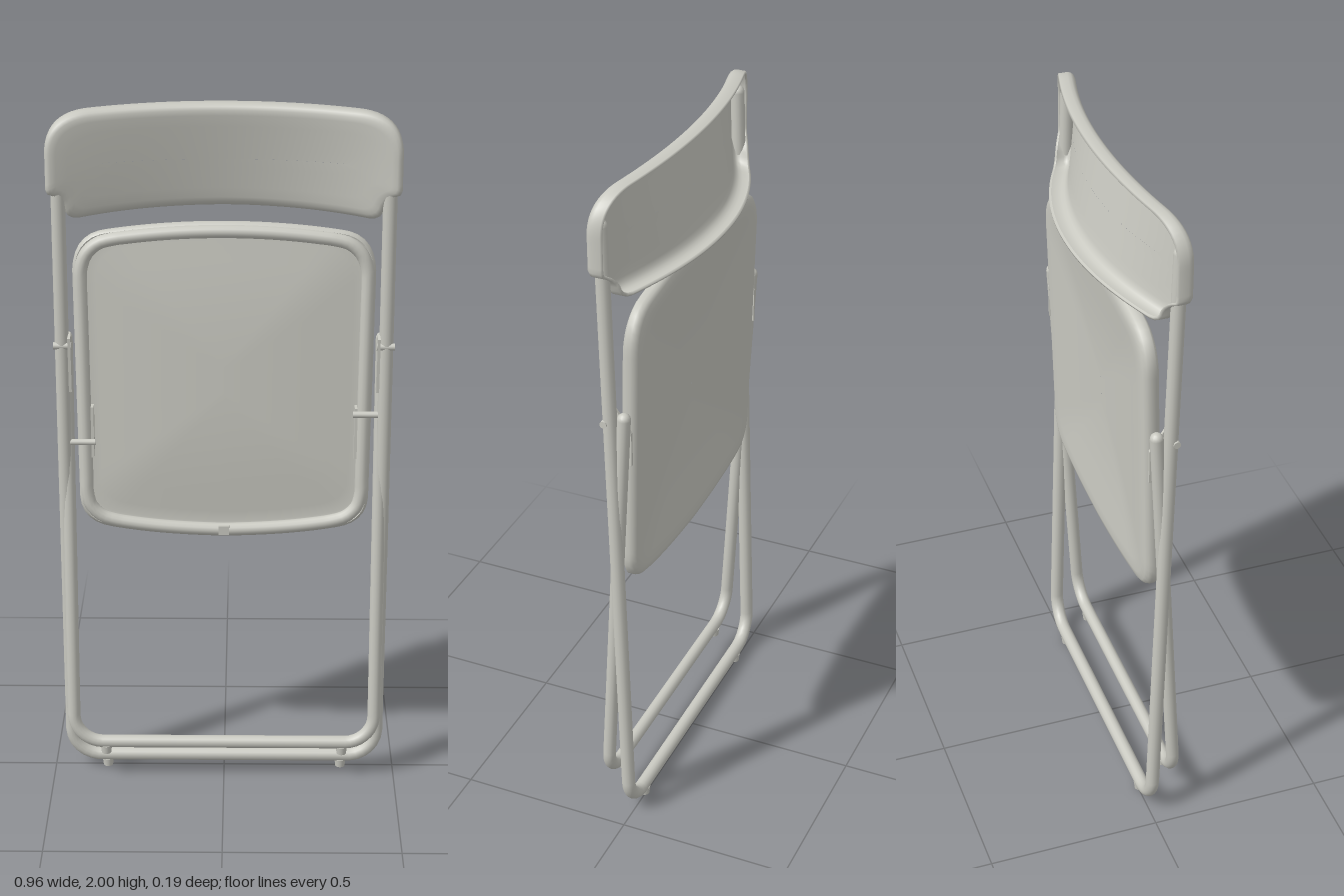
import * as THREE from 'three';

const metal = new THREE.MeshStandardMaterial({ color: 0xc9c9c1, side: THREE.DoubleSide });
metal.name = 'warm grey metal';
const V = (x, y, z) => new THREE.Vector3(x, y, z);

function add(parent, name, geometry) {
  const mesh = new THREE.Mesh(geometry, metal);
  mesh.name = name;
  parent.add(mesh);
  return mesh;
}

// Polyline path with every inner corner rounded by radius r
function roundedPath(points, r) {
  const path = new THREE.CurvePath();
  let from = points[0];
  for (let i = 1; i < points.length - 1; i++) {
    const p = points[i];
    const a = p.clone().add(points[i - 1].clone().sub(p).setLength(r));
    const b = p.clone().add(points[i + 1].clone().sub(p).setLength(r));
    path.add(new THREE.LineCurve3(from, a));
    path.add(new THREE.CubicBezierCurve3(a, a.clone().lerp(p, 0.55), b.clone().lerp(p, 0.55), b));
    from = b;
  }
  path.add(new THREE.LineCurve3(from, points[points.length - 1]));
  return path;
}

// U-shaped tube leg frame with capped ends and two feet
function legFrame(name, bottom, top, radius) {
  const group = new THREE.Group();
  group.name = name;
  const path = roundedPath([
    V(-top.x, top.y, top.z), V(-bottom.x, bottom.y, bottom.z),
    V(bottom.x, bottom.y, bottom.z), V(top.x, top.y, top.z)], 0.085);
  add(group, 'bentTube', new THREE.TubeGeometry(path, 220, radius, 14));
  for (const s of [-1, 1]) {
    add(group, 'tubeEnd', new THREE.SphereGeometry(radius, 14, 10)).position.set(s * top.x, top.y, top.z);
    add(group, 'foot', new THREE.CylinderGeometry(0.017, 0.014, 0.024, 14))
      .position.set(s * 0.345, bottom.y - radius - 0.006, bottom.z);
  }
  return group;
}

// Symmetric outline, counter-clockwise, from a right-half drawing function
function outlinePoints(shape, count) {
  const points = shape.getSpacedPoints(count);
  points.pop();
  return points;
}

// Sheet built from concentric rings: each ring is [inset, depth]
function shellGeometry(outline, center, half, rings, zAt) {
  const n = outline.length, pos = [], index = [];
  for (const [inset, depth] of rings) {
    for (const p of outline) {
      const x = center.x + (p.x - center.x) * (1 - inset / half.x);
      const y = center.y + (p.y - center.y) * (1 - inset / half.y);
      pos.push(x, y, zAt(x, y) + depth);
    }
  }
  for (let r = 0; r < rings.length - 1; r++) {
    for (let i = 0; i < n; i++) {
      const a = r * n + i, b = r * n + (i + 1) % n;
      index.push(a, a + n, b + n, a, b + n, b);
    }
  }
  const g = new THREE.BufferGeometry();
  g.setAttribute('position', new THREE.Float32BufferAttribute(pos, 3));
  g.setIndex(index);
  g.computeVertexNormals();
  return g;
}

function backrest() {
  const s = new THREE.Shape();
  s.moveTo(0, 1.705);
  s.quadraticCurveTo(0.25, 1.703, 0.39, 1.692);
  s.quadraticCurveTo(0.425, 1.69, 0.43, 1.72);
  s.quadraticCurveTo(0.44, 1.755, 0.478, 1.77);
  s.lineTo(0.478, 1.88);
  s.quadraticCurveTo(0.478, 1.98, 0.37, 1.99);
  s.quadraticCurveTo(0.2, 2, 0, 2);
  s.quadraticCurveTo(-0.2, 2, -0.37, 1.99);
  s.quadraticCurveTo(-0.478, 1.98, -0.478, 1.88);
  s.lineTo(-0.478, 1.77);
  s.quadraticCurveTo(-0.44, 1.755, -0.43, 1.72);
  s.quadraticCurveTo(-0.425, 1.69, -0.39, 1.692);
  s.quadraticCurveTo(-0.25, 1.703, 0, 1.705);
  const zAt = (x, y) => {
    const middle = -0.05 + (y - 1.7) * 0.21;
    return middle + (0.092 - middle) * (x / 0.478) ** 2;
  };
  const rings = [[0.1499, 0], [0.12, 0], [0.09, 0], [0.06, 0], [0.03, 0], [0.016, -0.002],
    [0.007, -0.008], [0.002, -0.016], [0, -0.026], [0, -0.05], [0.006, -0.052], [0.008, -0.046]];
  return shellGeometry(outlinePoints(s, 160), { x: 0, y: 1.845 }, { x: 0.478, y: 0.15 }, rings, zAt);
}

function seat() {
  const group = new THREE.Group();
  group.name = 'foldedSeat';
  const s = new THREE.Shape();
  s.moveTo(0, 0.758);
  s.quadraticCurveTo(0.2, 0.762, 0.33, 0.788);
  s.quadraticCurveTo(0.405, 0.805, 0.408, 0.88);
  s.lineTo(0.416, 1.54);
  s.quadraticCurveTo(0.412, 1.635, 0.33, 1.65);
  s.quadraticCurveTo(0.17, 1.675, 0, 1.675);
  s.quadraticCurveTo(-0.17, 1.675, -0.33, 1.65);
  s.quadraticCurveTo(-0.412, 1.635, -0.416, 1.54);
  s.lineTo(-0.408, 0.88);
  s.quadraticCurveTo(-0.405, 0.805, -0.33, 0.788);
  s.quadraticCurveTo(-0.2, 0.762, 0, 0.758);
  const outline = outlinePoints(s, 140);
  const zAt = (x, y) => -0.008 - 0.024 * (y - 0.76) / 0.91;

  // Dished pan with its rim turned forward
  const rings = [[0.4159, 0.022], [0.36, 0.0215], [0.28, 0.019], [0.2, 0.0145], [0.12, 0.008], [0.06, 0.002],
    [0.03, 0], [0.012, 0.004], [0.003, 0.012], [0, 0.022], [0, 0.036], [0.006, 0.042]];
  // Inset in y stretches with the half height, so the rim stays even
  const c = { x: 0, y: 1.216 }, half = { x: 0.416, y: 0.459 };
  add(group, 'seatPan', shellGeometry(outline, c, half, rings, zAt));

  // Tube ring under the pan
  const loop = outline.filter((p, i) => i % 2 === 0).map(p => {
    const x = p.x * (1 - 0.021 / half.x), y = c.y + (p.y - c.y) * (1 - 0.023 / half.y) - 0.004;
    return V(x, y, zAt(x, y) + 0.032);
  });
  add(group, 'seatRing', new THREE.TubeGeometry(new THREE.CatmullRomCurve3(loop, true), 180, 0.0185, 12, true));
  add(group, 'ringJoint', new THREE.BoxGeometry(0.03, 0.026, 0.012)).position.set(0, 0.782, 0.042);
  return group;
}

export function createModel() {
  const model = new THREE.Group();
  model.name = 'foldedChair';

  model.add(legFrame('mainFrame', V(0.449, 0.041, 0.004), V(0.446, 1.9, 0.056), 0.0195));
  model.add(legFrame('rearLegFrame', V(0.438, 0.12, 0.075), V(0.438, 1.345, 0.004), 0.0185));
  add(model, 'backrest', backrest());
  model.add(seat());

  // Hinge plate joining the two frames, seen from the side
  const plate = new THREE.Shape([[-0.065, 1.36], [-0.035, 1.37], [0.012, 1.3], [0.012, 1.2], [-0.05, 1.2]]
    .map(([x, y]) => new THREE.Vector2(x, y)));
  for (const s of [-1, 1]) {
    const hinge = add(model, 'hingePlate', new THREE.ExtrudeGeometry(plate, { depth: 0.008, bevelEnabled: false }));
    hinge.rotation.y = Math.PI / 2;
    hinge.position.x = s * 0.426 - 0.004;
    const rivet = add(model, 'hingeRivet', new THREE.CylinderGeometry(0.01, 0.01, 0.05, 12));
    rivet.rotation.z = Math.PI / 2;
    rivet.position.set(s * 0.445, 1.335, 0.05);

    // Seat pivot pin and its bracket
    const y = s > 0 ? 1.13 : 1.045;
    const pin = add(model, 'seatPivotPin', new THREE.CylinderGeometry(0.009, 0.009, 0.08, 12));
    pin.rotation.z = Math.PI / 2;
    pin.position.set(s * 0.4, y, 0.034);
    add(model, 'seatBracket', new THREE.BoxGeometry(0.008, 0.15, 0.03)).position.set(s * 0.369, 1.07, 0.012);
  }
  return model;
}
